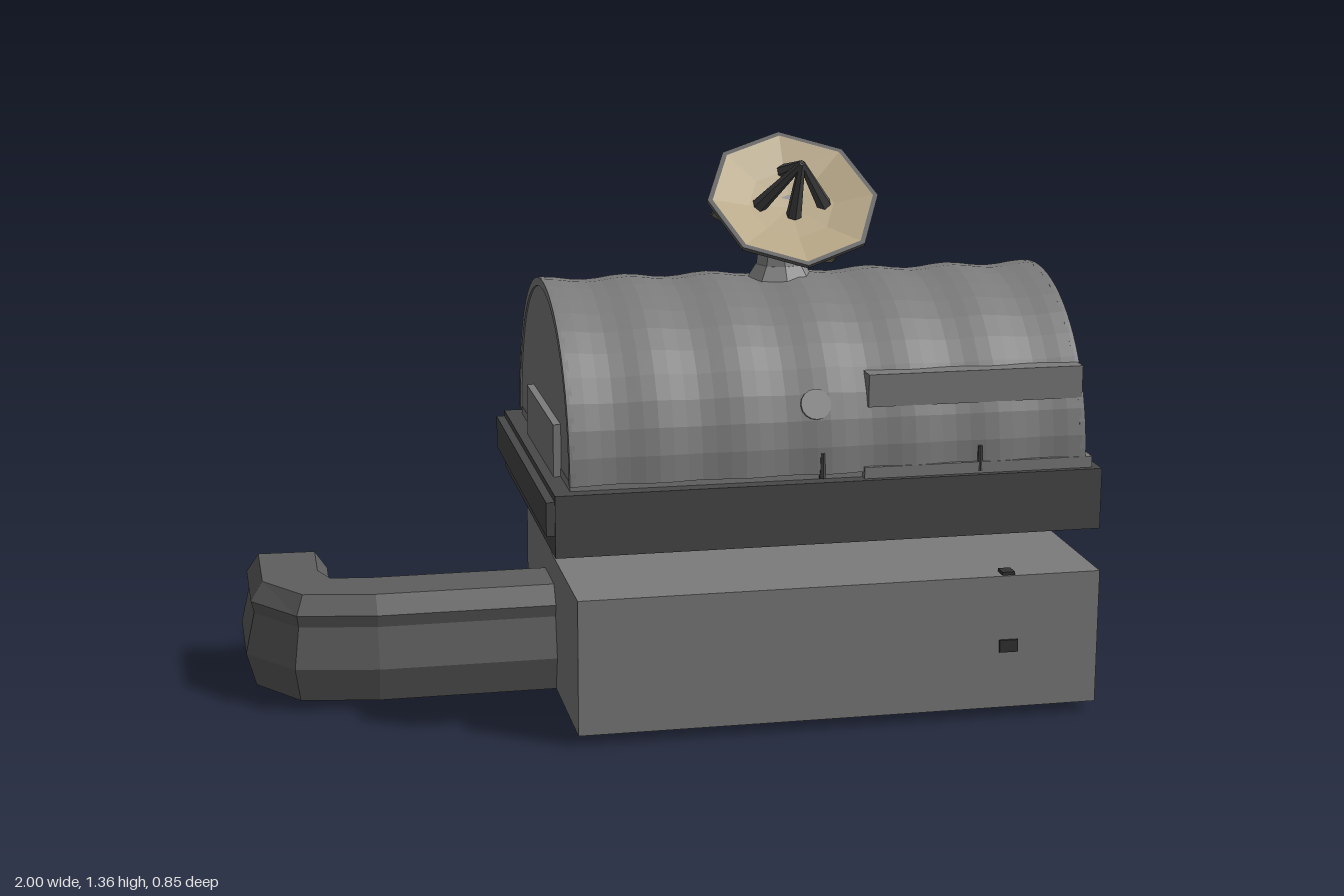
import * as THREE from 'three';
import { ConvexGeometry } from 'three/addons/geometries/ConvexGeometry.js';

const mat = (color) => new THREE.MeshStandardMaterial({ color, flatShading: true, side: THREE.DoubleSide });
const grey = mat(0x7c7c7c), pale = mat(0x8a8a8a), dark = mat(0x494949), ductGrey = mat(0x5e5e5e), black = mat(0x333333);
const tan = mat(0xb8a888), brown = mat(0x7d735c), green = mat(0x74865a), rust = mat(0x80582f);
const V = (x, y, z) => new THREE.Vector3(x, y, z);

function add(parent, name, geometry, material = grey) {
  const mesh = new THREE.Mesh(geometry, material);
  mesh.name = name;
  parent.add(mesh);
  return mesh;
}

// Box given by its extents on each axis
function box(parent, name, [x0, x1], [y0, y1], [z0, z1], material) {
  const mesh = add(parent, name, new THREE.BoxGeometry(x1 - x0, y1 - y0, z1 - z0), material);
  mesh.position.set((x0 + x1) / 2, (y0 + y1) / 2, (z0 + z1) / 2);
}

// Tapered rod between two points
function rod(parent, name, a, b, ra, rb, sides, material) {
  const dir = b.clone().sub(a);
  const mesh = add(parent, name, new THREE.CylinderGeometry(rb, ra, dir.length(), sides), material);
  mesh.position.copy(a).add(b).multiplyScalar(0.5);
  mesh.quaternion.setFromUnitVectors(V(0, 1, 0), dir.normalize());
}

// Eight-sided dish with feed legs, facing the given direction
function dish(parent, name, center, facing, r) {
  const g = new THREE.Group();
  g.name = name;
  const lathe = (pts) => new THREE.LatheGeometry(pts.map(([a, b]) => new THREE.Vector2(a * r, b * r)), 8);
  add(g, 'dishBowl', lathe([[0, -0.17], [0.5, -0.12], [0.94, 0]]), tan);
  add(g, 'dishShell', lathe([[0, -0.24], [0.5, -0.18], [1, -0.05]]), brown);
  add(g, 'dishRim', lathe([[1, -0.05], [1, 0], [0.94, 0]]), ductGrey);
  const apex = V(0, 0.58 * r, 0);
  for (const [x, z] of [[0, -0.5], [0, 0.16], [-0.38, 0], [0.38, 0]])
    rod(g, 'feedLeg', V(x * r, -0.13 * r, z * r), apex, 0.09 * r, 0.04 * r, 6, dark);
  g.position.copy(center);
  g.quaternion.setFromUnitVectors(V(0, 1, 0), facing.clone().normalize());
  parent.add(g);
}

// Curved shelter skin: an arch with shallow ribs along its length
function archSkin(x0, x1, cy, r) {
  const geo = new THREE.PlaneGeometry(1, 1, 36, 20), p = geo.attributes.position;
  for (let i = 0; i < p.count; i++) {
    const t = p.getX(i) + 0.5, a = (0.5 - p.getY(i)) * Math.PI;
    const rr = r - 0.005 * (1 - Math.cos(t * 12 * Math.PI));
    p.setXYZ(i, x0 + (x1 - x0) * t, cy + rr * Math.sin(a), -rr * Math.cos(a));
  }
  geo.computeVertexNormals();
  return geo;
}

// Half disc or half ring, extruded along x
function archPlate(outer, inner, depth) {
  const s = new THREE.Shape();
  s.absarc(0, 0, outer, 0, Math.PI, false);
  if (inner) s.absarc(0, 0, inner, Math.PI, 0, true);
  return new THREE.ExtrudeGeometry(s, { depth, bevelEnabled: false, curveSegments: 20 }).rotateY(Math.PI / 2);
}

// Duct: one cross-section stretched between inner and outer plan points
function ductGeometry() {
  const section = [[0.1, 0.025], [0, 0.11], [0.1, 0.21], [0.07, 0.24], [0.2, 0.285],
    [0.8, 0.285], [0.93, 0.24], [0.9, 0.21], [1, 0.11], [0.9, 0.025]];
  const rings = [[-0.25, -0.12, -0.25, 0.11], [-0.7, -0.12, -0.69, 0.11], [-0.765, -0.13, -0.89, 0.075],
    [-0.77, -0.18, -1, -0.07], [-0.765, -0.32, -1, -0.33]];
  const pos = [], idx = [], n = section.length;
  for (const [ix, iz, ox, oz] of rings)
    for (const [u, y] of section) pos.push(ix + (ox - ix) * u, y, iz + (oz - iz) * u);
  for (let k = 0; k < rings.length - 1; k++)
    for (let i = 0; i < n; i++) {
      const a = k * n + i, b = k * n + (i + 1) % n;
      idx.push(a, b, a + n, b, b + n, a + n);
    }
  const cap = (rings.length - 1) * n;
  const flat = section.map(([u, y]) => new THREE.Vector2(u, y));
  for (const [a, b, c] of THREE.ShapeUtils.triangulateShape(flat, [])) idx.push(cap + a, cap + b, cap + c);
  const geo = new THREE.BufferGeometry();
  geo.setAttribute('position', new THREE.Float32BufferAttribute(pos, 3));
  geo.setIndex(idx);
  geo.computeVertexNormals();
  return geo;
}

export function createModel() {
  const model = new THREE.Group();
  model.name = 'dishStation';

  // Lower block with the raised corner that carries the upper deck
  box(model, 'base', [-0.26, 1], [0.025, 0.353], [-0.38, 0.42]);
  add(model, 'raisedCorner', new ConvexGeometry([
    V(-0.26, 0.393, -0.38), V(-0.085, 0.393, -0.38), V(-0.085, 0.393, -0.16), V(-0.26, 0.393, -0.16),
    V(-0.26, 0.353, -0.38), V(0.26, 0.353, -0.38), V(0.26, 0.353, 0.05), V(-0.26, 0.353, 0.05)]));
  box(model, 'supportPost', [-0.26, -0.085], [0.393, 0.465], [-0.38, -0.16], dark);
  box(model, 'frontLatch', [0.755, 0.8], [0.165, 0.195], [0.41, 0.427], black);
  box(model, 'topLatch', [0.76, 0.79], [0.35, 0.361], [0.38, 0.415], black);

  // Underside panel and fittings
  box(model, 'undersidePanel', [0.6, 0.965], [0, 0.03], [0.09, 0.305], green);
  for (const x of [0.32, 0.4, 0.62])
    for (const z of [-0.02, -0.09, -0.285, -0.355])
      rod(model, 'undersideBolt', V(x, 0.015, z), V(x, 0.03, z), 0.011, 0.011, 8, black);
  box(model, 'undersideClip', [0.68, 0.75], [0.016, 0.03], [-0.05, -0.03], rust);
  box(model, 'undersideClip', [0.52, 0.56], [0.016, 0.03], [0.02, 0.04], rust);

  add(model, 'duct', ductGeometry(), ductGrey);

  // Upper deck
  box(model, 'deck', [-0.31, 0.995], [0.458, 0.605], [-0.425, 0.42], dark);
  box(model, 'shelterSill', [-0.27, 0.957], [0.6, 0.625], [-0.385, 0.385]);
  box(model, 'deckEndStrip', [-0.33, -0.3], [0.51, 0.59], [-0.425, 0.415], dark);

  // Arched shelter
  const cy = 0.62;
  add(model, 'shelterSkin', archSkin(-0.265, 0.95, cy, 0.405));
  for (const x of [-0.273, 0.945]) {
    add(model, 'endRim', archPlate(0.404, 0.384, 0.014)).position.set(x, cy, 0);
    add(model, 'endWall', archPlate(0.39, 0, 0.006)).position.set(x + 0.004, cy, 0);
  }
  box(model, 'endPanel', [-0.287, -0.26], [0.605, 0.73], [-0.17, 0.25]);

  // Front canopy, sill, round cover and studs
  box(model, 'canopy', [0.435, 0.955], [0.768, 0.845], [0.28, 0.375]);
  box(model, 'frontSill', [0.42, 0.975], [0.605, 0.632], [0.35, 0.405]);
  const nrm = V(0, 0.16, 0.37).normalize();
  rod(model, 'roundCover', V(0.31, cy, 0).addScaledVector(nrm, 0.385),
    V(0.31, cy, 0).addScaledVector(nrm, 0.405), 0.036, 0.036, 16, pale);
  for (const x of [0.32, 0.7]) rod(model, 'stud', V(x, 0.61, 0.4), V(x, 0.67, 0.4), 0.008, 0.005, 6, dark);

  // Handrail beside the end wall
  box(model, 'railPost', [0.955, 0.972], [0.61, 0.835], [-0.006, 0.013], ductGrey);
  box(model, 'railPost', [0.955, 0.972], [0.61, 0.79], [-0.367, -0.348], ductGrey);
  box(model, 'railBar', [0.957, 0.97], [0.733, 0.748], [-0.36, 0], ductGrey);

  // Mast and dishes
  rod(model, 'mastFoot', V(0.31, 0.99, 0), V(0.31, 1.045, 0), 0.095, 0.06, 8, pale);
  rod(model, 'mast', V(0.31, 1.03, 0), V(0.31, 1.15, 0), 0.06, 0.045, 8, pale);
  const hub = V(0.31, 1.13, 0);
  rod(model, 'largeDishArm', hub, V(0.31, 1.2, 0.1), 0.045, 0.03, 8, pale);
  rod(model, 'sideDishArm', hub, V(0.4, 1.15, -0.01), 0.03, 0.02, 6, pale);
  rod(model, 'rearDishArm', hub, V(0.25, 1.2, -0.09), 0.03, 0.02, 6, pale);
  dish(model, 'largeDish', V(0.31, 1.225, 0.128), V(0, 0.315, 0.27), 0.207);
  dish(model, 'sideDish', V(0.41, 1.15, -0.01), V(0.85, 0, -0.45), 0.115);
  dish(model, 'rearDish', V(0.24, 1.205, -0.095), V(-0.45, 0.6, -0.5), 0.1);
  return model;
}
